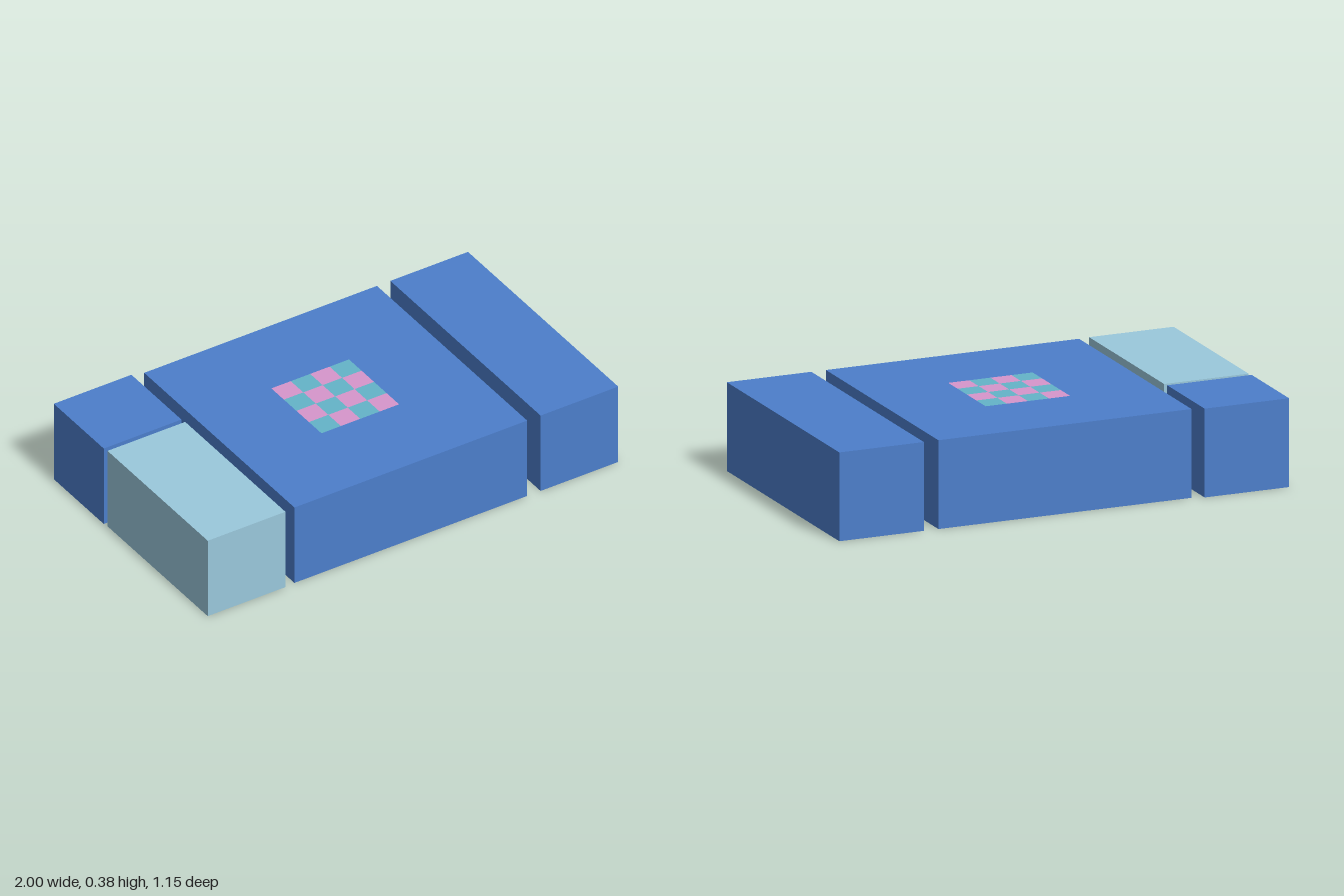
import * as THREE from 'three';

const HEIGHT = 0.377;
const material = (color) => new THREE.MeshStandardMaterial({ color });

export function createModel() {
  const model = new THREE.Group();
  const blue = material(0x4c7ecb);
  const paleBlue = material(0x9ac8dc);

  // Block standing on the ground, given by its extents in x and z
  function block(name, x0, x1, z0, z1, mat) {
    const mesh = new THREE.Mesh(new THREE.BoxGeometry(x1 - x0, HEIGHT, z1 - z0), mat);
    mesh.position.set((x0 + x1) / 2, HEIGHT / 2, (z0 + z1) / 2);
    mesh.name = name;
    model.add(mesh);
  }
  block('centreBlock', -0.572, 0.558, -0.559, 0.571, blue);
  block('leftBlock', 0.623, 1, -0.559, 0.571, blue);
  block('rightRearBlock', -1, -0.623, -0.576, -0.2, blue);
  block('rightFrontBlock', -0.996, -0.619, -0.178, 0.576, paleBlue);

  // Four by four checkered patch, just above the centre block
  const patch = new THREE.Group();
  patch.name = 'checkeredPatch';
  const cell = 0.0942;
  const tile = new THREE.PlaneGeometry(cell, cell).rotateX(-Math.PI / 2);
  const colors = [material(0xd696cc), material(0x64b4c8)];
  for (let row = 0; row < 4; row++) {
    for (let col = 0; col < 4; col++) {
      const mesh = new THREE.Mesh(tile, colors[(row + col) % 2]);
      mesh.position.set((col - 1.5) * cell, 0, (row - 1.5) * cell);
      mesh.name = 'patchTile';
      patch.add(mesh);
    }
  }
  patch.position.set(-0.008, HEIGHT + 0.001, 0.004);
  model.add(patch);

  return model;
}
